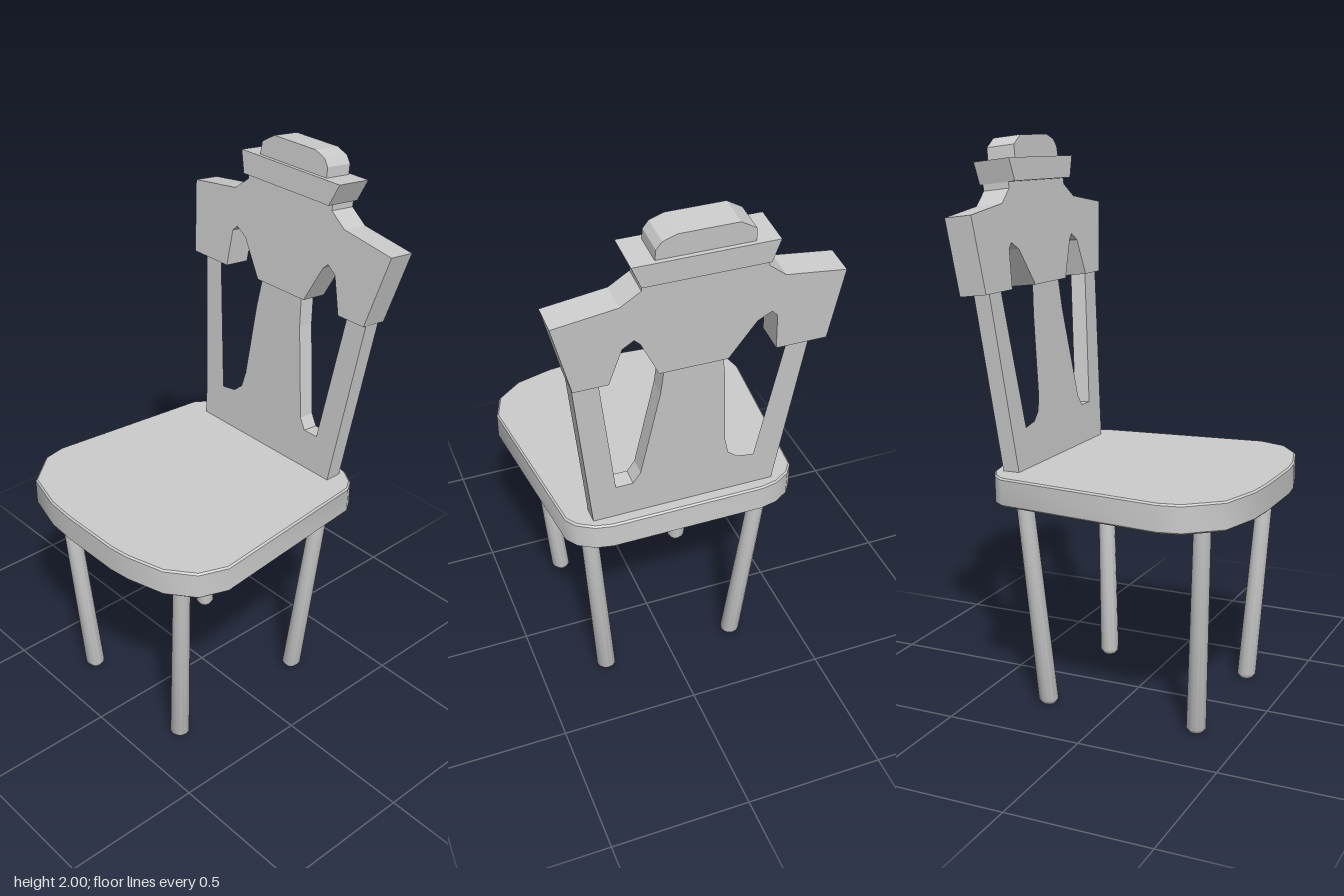
import * as THREE from 'three';
import { toCreasedNormals } from 'three/addons/utils/BufferGeometryUtils.js';

const material = new THREE.MeshStandardMaterial({ color: 0xcccccc });

function makeMesh(name, geometry) {
  const mesh = new THREE.Mesh(geometry, material);
  mesh.name = name;
  return mesh;
}

// Move every vertex of a geometry by a rule
function deform(geometry, rule) {
  const p = geometry.attributes.position;
  const v = new THREE.Vector3();
  for (let i = 0; i < p.count; i++) {
    rule(v.fromBufferAttribute(p, i));
    p.setXYZ(i, v.x, v.y, v.z);
  }
  geometry.computeVertexNormals();
  return geometry;
}

function shapeOf(points) {
  return new THREE.Shape(points.map(([a, b]) => new THREE.Vector2(a, b)));
}

// Slab with a [z, y] outline (as seen on its rear face), leaning back by slope
function leaningSlab(name, outline, { x, y, depth, slope, holes = [] }) {
  const flip = (pts) => pts.map(([z, h]) => [-z, h]);
  const shape = shapeOf(flip(outline));
  shape.holes = holes.map((h) => new THREE.Path(shapeOf(flip(h)).getPoints()));
  const g = new THREE.ExtrudeGeometry(shape, { depth, bevelEnabled: false });
  g.rotateY(Math.PI / 2);
  deform(g, (v) => {
    const d = v.x;
    v.x = x + d + slope * (v.y - y);
    v.y += slope * (depth - d);
  });
  return makeMesh(name, g);
}

// Faceted seat: wide rounded front at -x, tapering to chamfered rear corners
function makeSeat() {
  const outline = [
    [-0.52, 0.13], [-0.51, 0.21], [-0.472, 0.345], [-0.4, 0.437], [-0.3, 0.474],
    [0.325, 0.412], [0.365, 0.385], [0.398, 0.33], [0.41, 0.27],
    [0.41, -0.27], [0.398, -0.33], [0.365, -0.385], [0.325, -0.414],
    [-0.275, -0.478], [-0.355, -0.462], [-0.47, -0.363], [-0.512, -0.21], [-0.52, -0.1],
  ];
  const bevel = 0.006;
  const g = new THREE.ExtrudeGeometry(shapeOf(outline.map(([x, z]) => [x, -z])), {
    depth: 0.1 - 2 * bevel, bevelSize: bevel, bevelOffset: -bevel,
    bevelThickness: bevel, bevelSegments: 1,
  });
  g.rotateX(-Math.PI / 2);
  g.translate(0, 0.765 + bevel, 0);
  return makeMesh('seat', toCreasedNormals(g, 0.6));
}

// Round leg, splayed between its foot and its top
function makeLeg(name, footX, topX, side) {
  const height = 0.79;
  const profile = [[0, 0], [0.024, 0.003], [0.035, 0.018], [0.03, height]];
  const g = new THREE.LatheGeometry(profile.map(([r, y]) => new THREE.Vector2(r, y)), 12);
  deform(g, (v) => {
    const t = v.y / height;
    v.x += THREE.MathUtils.lerp(footX, topX, t);
    v.z += side * THREE.MathUtils.lerp(0.253, 0.323, t);
  });
  return makeMesh(name, toCreasedNormals(g, 0.7));
}

function makeBackrest() {
  const back = new THREE.Group();
  back.name = 'backrest';

  // Side posts, splat and lower rail in one pierced panel
  back.add(leaningSlab('backPanel',
    [[0.325, 0.855], [0.405, 1.5], [0.41, 1.68], [-0.41, 1.68], [-0.39, 1.5], [-0.32, 0.855]],
    {
      x: 0.308, y: 0.865, depth: 0.06, slope: 0.097,
      holes: [
        [[0.25, 1.0], [0.19, 1.0], [0.165, 1.04], [0.155, 1.1], [0.11, 1.37],
          [0.1, 1.5], [0.1, 1.65], [0.3, 1.65], [0.317, 1.48]],
        [[-0.24, 1.0], [-0.18, 1.01], [-0.145, 1.04], [-0.13, 1.1], [-0.108, 1.37],
          [-0.09, 1.5], [-0.09, 1.65], [-0.3, 1.65], [-0.31, 1.48]],
      ],
    }));

  // Thick crest with two small arches and drooping wings
  back.add(leaningSlab('crestRail',
    [[0.405, 1.475], [0.29, 1.475], [0.252, 1.605], [0.215, 1.63], [0.195, 1.61], [0.128, 1.475],
      [-0.1, 1.475], [-0.185, 1.605], [-0.23, 1.63], [-0.25, 1.61], [-0.262, 1.475],
      [-0.435, 1.475], [-0.465, 1.735], [-0.26, 1.762], [-0.2, 1.81], [-0.2, 1.85],
      [0.2, 1.85], [0.2, 1.81], [0.265, 1.765], [0.475, 1.735]],
    { x: 0.352, y: 1.48, depth: 0.1, slope: 0.12 }));

  // Flared cap and finial on top
  back.add(leaningSlab('crestCap',
    [[0.205, 1.83], [0.24, 1.908], [-0.222, 1.908], [-0.2, 1.83]],
    { x: 0.37, y: 1.84, depth: 0.138, slope: 0.12 }));
  back.add(leaningSlab('finial',
    [[0.165, 1.895], [0.163, 1.945], [0.145, 1.97], [0.1, 1.987],
      [-0.092, 1.987], [-0.145, 1.955], [-0.15, 1.895]],
    { x: 0.397, y: 1.92, depth: 0.107, slope: 0.12 }));
  return back;
}

export function createModel() {
  const chair = new THREE.Group();
  chair.name = 'chair';
  chair.add(makeSeat(), makeBackrest());
  for (const side of [1, -1]) {
    const label = side > 0 ? 'A' : 'B';
    chair.add(makeLeg('frontLeg' + label, -0.33, -0.373, side));
    chair.add(makeLeg('rearLeg' + label, 0.24, 0.288, side));
  }
  return chair;
}
